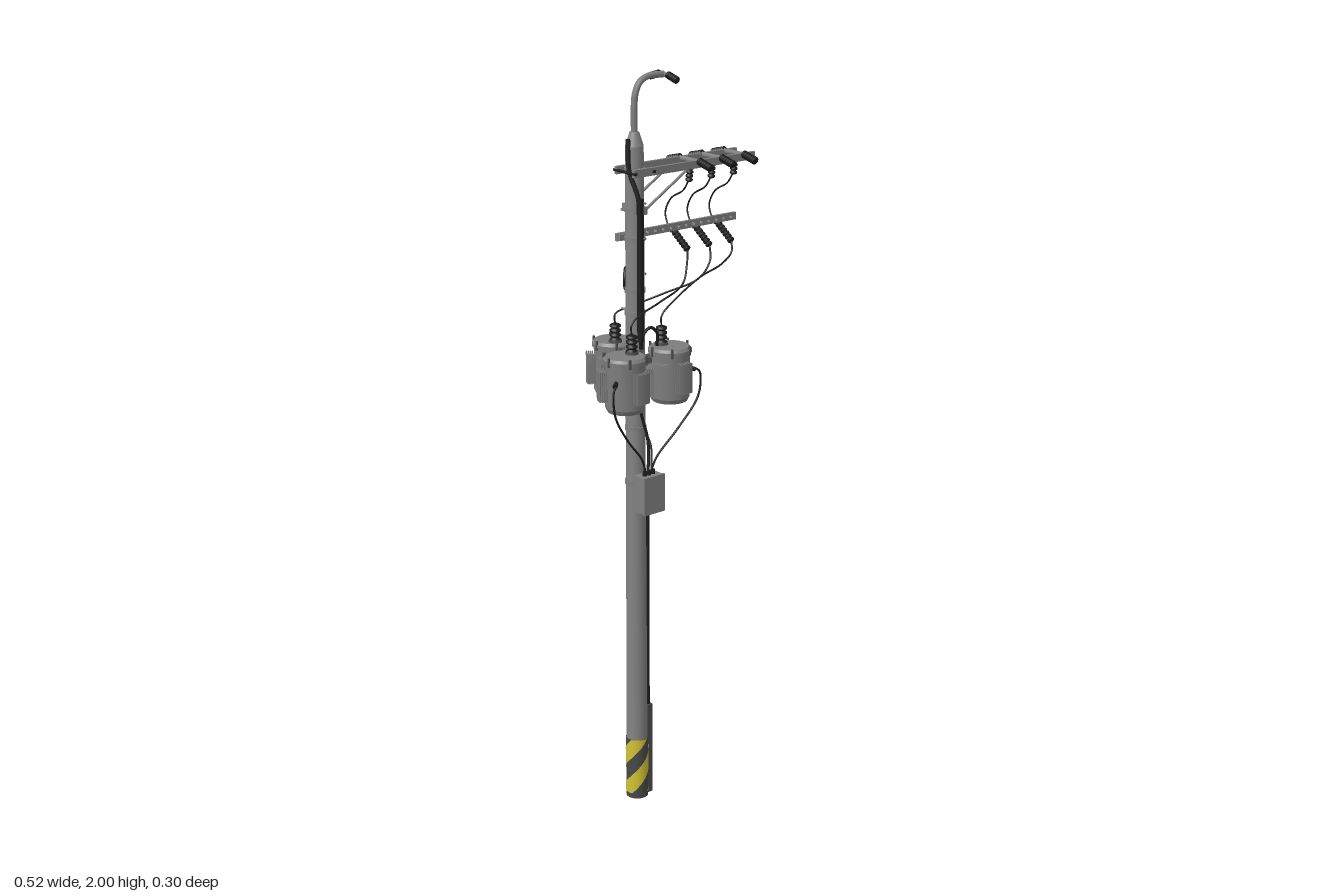
import * as THREE from 'three';

const mat = (name, color, side = THREE.FrontSide) => {
  const m = new THREE.MeshStandardMaterial({ color, side });
  m.name = name;
  return m;
};

export function createModel() {
  const root = new THREE.Group();
  root.name = 'utilityPole';
  const concrete = mat('concrete grey', 0x838383);
  const steel = mat('galvanised steel', 0x808080);
  const paint = mat('transformer grey', 0x7c7c7c);
  const cover = mat('conduit grey', 0x4c4c4c);
  const black = mat('black rubber', 0x1d1d1d);
  const dark = mat('warning dark', 0x484848, THREE.DoubleSide);
  const yellow = mat('warning yellow', 0xd2c234, THREE.DoubleSide);
  const PX = -0.112, PZ = 0.024;
  const V = (x, y, z) => new THREE.Vector3(x, y, z);

  const add = (name, geo, material, x = 0, y = 0, z = 0, parent = root) => {
    const m = new THREE.Mesh(geo, material);
    m.name = name;
    m.position.set(x, y, z);
    parent.add(m);
    return m;
  };
  const box = (name, w, h, d, material, x, y, z, parent) =>
    add(name, new THREE.BoxGeometry(w, h, d), material, x, y, z, parent);
  const cyl = (name, r1, r2, h, material, x, y, z, parent, seg = 24) =>
    add(name, new THREE.CylinderGeometry(r1, r2, h, seg), material, x, y, z, parent);
  const tube = (name, pts, r, material = black, parent = root) =>
    add(name, new THREE.TubeGeometry(new THREE.CatmullRomCurve3(pts.map(p => V(...p))), 40, r, 8), material, 0, 0, 0, parent);

  // Aligns a y-axis geometry from point a to point b
  const between = (name, geo, a, b, material, parent = root) => {
    const m = add(name, geo, material, ...a, parent);
    m.quaternion.setFromUnitVectors(V(0, 1, 0), V(...b).sub(V(...a)).normalize());
    return m;
  };
  const rod = (name, a, b, r, material, parent) => {
    const len = V(...a).distanceTo(V(...b));
    return between(name, new THREE.CylinderGeometry(r, r, len, 12).translate(0, len / 2, 0), a, b, material, parent);
  };
  // Ribbed insulator
  const insulator = (name, a, b, r, ribs = 5, parent = root) => {
    const len = V(...a).distanceTo(V(...b)), step = len / ribs;
    const pts = [new THREE.Vector2(0, 0)];
    for (let i = 0; i < ribs; i++) {
      pts.push(new THREE.Vector2(r * 0.65, i * step), new THREE.Vector2(r, (i + 0.25) * step),
        new THREE.Vector2(r, (i + 0.65) * step), new THREE.Vector2(r * 0.65, (i + 0.9) * step));
    }
    pts.push(new THREE.Vector2(0, len));
    return between(name, new THREE.LatheGeometry(pts, 16), a, b, black, parent);
  };

  // Tapered pole with rounded cap
  const poleR = y => 0.0295 - 0.006 * y / 1.82;
  cyl('pole', poleR(1.82), poleR(0), 1.82, concrete, PX, 0.91, PZ, root, 32);
  cyl('poleCap', 0.012, poleR(1.82), 0.035, concrete, PX, 1.8375, PZ);
  for (const y of [0.93, 1.08, 1.19, 1.27, 1.39, 1.45, 1.585, 1.66, 1.76])
    cyl('poleBand', poleR(y) + 0.0025, poleR(y) + 0.0025, 0.012, steel, PX, y, PZ);

  // Diagonal warning stripes wound round the foot
  const top = 0.18, pitch = 0.11, seg = 64;
  add('stripeBase', new THREE.CylinderGeometry(0.0302, 0.0307, top, 32, 1, true), dark, PX, top / 2, PZ);
  for (let k = -2; k < 2; k++) {
    const pos = [], idx = [];
    for (let i = 0; i <= seg; i++) {
      const t = i / seg, a = -t * Math.PI * 2;
      const lo = THREE.MathUtils.clamp((k + 2 * t) * pitch, 0.015, top);
      const hi = THREE.MathUtils.clamp((k + 2 * t + 0.52) * pitch, 0.015, top);
      for (const y of [lo, hi]) pos.push(PX + 0.0315 * Math.cos(a), y, PZ + 0.0315 * Math.sin(a));
      if (i < seg) idx.push(2 * i, 2 * i + 2, 2 * i + 1, 2 * i + 1, 2 * i + 2, 2 * i + 3);
    }
    const g = new THREE.BufferGeometry();
    g.setAttribute('position', new THREE.Float32BufferAttribute(pos, 3));
    g.setIndex(idx);
    g.computeVertexNormals();
    add('warningStripe', g, yellow);
  }

  // Cable riser and its guard on the +x side
  box('cableGuard', 0.018, 0.27, 0.03, cover, -0.078, 0.135, PZ);
  rod('riserPipe', [-0.079, 0.26, PZ], [-0.079, 0.88, PZ], 0.0075, cover);
  for (const s of [-1, 1]) {
    rod('riserCable', [-0.078, 0.26, PZ + s * 0.006], [-0.078, 0.86, PZ + s * 0.006], 0.0055, black);
    tube('riserBend', [[-0.078, 0.85, PZ + s * 0.006], [-0.078, 0.91, 0.004 + s * 0.005], [-0.08, 0.97, -0.022 + s * 0.005],
      [-0.083, 1.05, -0.025 + s * 0.004], [-0.088, 1.1, 0], [-0.1, 1.1, 0.045]], 0.0055);
  }

  // Cable running up the front of the pole, and the climbing pegs
  tube('frontCable', [[-0.136, 1.84, 0.028], [-0.137, 1.76, 0.034], [-0.125, 1.69, 0.055], [-0.12, 1.55, 0.056], [-0.118, 1.4, 0.056], [-0.118, 1.3, 0.056]], 0.006);
  rod('frontConduit', [-0.119, 1.32, 0.055], [-0.119, 1.69, 0.055], 0.009, black);
  for (const y of [1.13, 1.39, 1.65]) rod('climbingPeg', [PX, y, PZ], [PX, y, -0.03], 0.003, steel);
  for (const y of [1.5, 1.59, 1.68]) rod('climbingPeg', [PX, y, PZ], [PX, y, 0.067], 0.003, steel);

  // Spare cable coil behind the pole
  for (const d of [0, 0.006]) {
    const coil = add('cableCoil', new THREE.TorusGeometry(0.028 - d / 3, 0.0035, 8, 32), black, -0.106 + d, 1.47, -0.022 + d);
    coil.rotation.y = Math.PI / 4;
  }

  // Curved top bracket with its two-ended ribbed head
  tube('topBracket', [[PX, 1.84, PZ], [PX, 1.92, PZ], [-0.108, 1.95, PZ], [-0.095, 1.975, PZ], [-0.07, 1.988, PZ], [-0.017, 1.989, PZ]], 0.0085, steel);
  rod('topHead', [-0.017, 1.988, -0.005], [-0.017, 1.988, 0.053], 0.006, steel);
  for (const s of [-1, 1])
    insulator('topInsulator', [-0.017, 1.989, PZ + s * 0.016], [-0.017, 1.978, PZ + s * 0.054], 0.0095, 5);

  // Paired upper crossarms with braces
  for (const z of [-0.011, 0.059]) {
    box('upperCrossarm', 0.405, 0.02, 0.009, steel, 0.058, 1.757, z);
    rod('armBrace', [-0.11, 1.66, z], [0.04, 1.752, z], 0.0035, steel);
    box('braceClamp', 0.02, 0.02, 0.014, steel, PX, 1.66, z * 0.9 + 0.002);
  }
  for (const x of [-0.142, -0.082]) rod('armBolt', [x, 1.757, -0.02], [x, 1.757, 0.068], 0.004, black);

  // Perforated lower crossarm
  const arm = new THREE.Shape([[-0.145, -0.01], [0.26, -0.01], [0.26, 0.01], [-0.145, 0.01]].map(p => new THREE.Vector2(...p)));
  for (let x = -0.07; x < 0.25; x += 0.026) {
    const h = new THREE.Path();
    h.absarc(x, 0, 0.0045, 0, Math.PI * 2, true);
    arm.holes.push(h);
  }
  add('lowerCrossarm', new THREE.ExtrudeGeometry(arm, { depth: 0.009, bevelEnabled: false, curveSegments: 6 }), steel, 0, 1.585, -0.0155);
  box('lowerArmClamp', 0.062, 0.016, 0.012, steel, PX, 1.585, -0.004);

  // Insulators, fuses and jumper wires for each phase
  for (const x of [0.07, 0.146, 0.223]) {
    rod('insulatorBar', [x, 1.762, -0.015], [x, 1.762, 0.065], 0.007, steel);
    insulator('rearInsulator', [x, 1.764, -0.012], [x, 1.752, -0.06], 0.0105, 6);
    insulator('frontInsulator', [x, 1.764, 0.061], [x, 1.752, 0.109], 0.0105, 6);
    insulator('hangingFuse', [x, 1.757, 0.028], [x, 1.705, 0.022], 0.0095, 5);
    tube('jumperWire', [[x, 1.71, 0.022], [x, 1.68, 0.0], [x, 1.65, -0.05], [x, 1.61, -0.072], [x, 1.58, -0.062], [x, 1.565, -0.045]], 0.0022);
    insulator('lowerInsulator', [x, 1.572, -0.045], [x, 1.525, 0.02], 0.0095, 7);
  }

  // One transformer, modelled at the origin with its outward side along +x
  const finGeo = r => {
    const s = new THREE.Shape(), h = 0.38 - (r - 0.058) * 6;
    s.absarc(0, 0, r, -h, h, false);
    s.absarc(0, 0, r - 0.0025, h, -h, true);
    return new THREE.ExtrudeGeometry(s, { depth: 0.08, bevelEnabled: false, curveSegments: 8 }).rotateX(-Math.PI / 2);
  };
  const fins = [0.058, 0.063, 0.068, 0.073].map(finGeo);
  const transformer = (deg, i) => {
    const g = new THREE.Group();
    g.name = 'transformer' + (i + 1);
    const a = THREE.MathUtils.degToRad(deg);
    g.position.set(PX + 0.09 * Math.cos(a), 0, PZ + 0.09 * Math.sin(a));
    g.rotation.y = -a;
    root.add(g);
    cyl('tank', 0.052, 0.052, 0.12, paint, 0, 1.225, 0, g, 32);
    cyl('tankBase', 0.052, 0.046, 0.012, paint, 0, 1.159, 0, g, 32);
    cyl('lidRim', 0.057, 0.057, 0.009, paint, 0, 1.288, 0, g, 32);
    cyl('lid', 0.05, 0.056, 0.007, paint, 0, 1.296, 0, g, 32);
    for (const d of [60, 120, -60, -120]) {
      const group = new THREE.Group();
      group.name = 'coolingFins';
      group.rotation.y = THREE.MathUtils.degToRad(d);
      g.add(group);
      fins.forEach(f => add('fin', f, paint, 0, 1.185, 0, group));
      for (const y of [1.2, 1.25]) box('finHeader', 0.022, 0.006, 0.012, paint, 0.061, y, 0, group);
    }
    for (let k = 0; k < 6; k++) {
      const t = (k + 0.5) * Math.PI / 3;
      cyl('lidClamp', 0.0035, 0.0035, 0.024, cover, 0.056 * Math.cos(t), 1.291, 0.056 * Math.sin(t), g, 8);
    }
    // Side outlet, mount to the pole
    rod('sideOutlet', [0.05, 1.24, 0.008], [0.066, 1.235, 0.008], 0.006, black, g);
    for (const y of [1.19, 1.265]) box('mountBracket', 0.03, 0.014, 0.036, cover, -0.056, y, 0, g);
  };
  [-90, 146, 34].forEach(transformer);

  // High-voltage bushings with their feeder wires
  const bushings = [[-0.162, 0.071], [-0.125, -0.042], [-0.047, 0.052]];
  bushings.forEach(([x, z]) => {
    cyl('bushingFlange', 0.017, 0.018, 0.008, cover, x, 1.302, z);
    insulator('bushing', [x, 1.3, z], [x, 1.35, z], 0.0145, 4);
  });
  const feeder = (x, pts, [bx, bz]) =>
    tube('feederWire', [[x, 1.527, 0.018], ...pts, [bx, 1.375, bz], [bx, 1.345, bz]], 0.0025);
  feeder(0.07, [[0.062, 1.49, 0.025], [0.03, 1.445, 0.045], [-0.06, 1.415, 0.06], [-0.13, 1.395, 0.068]], bushings[0]);
  feeder(0.146, [[0.138, 1.49, 0.03], [0.09, 1.45, 0.04], [0, 1.42, 0.01], [-0.08, 1.39, -0.03]], bushings[1]);
  feeder(0.223, [[0.215, 1.5, 0.028], [0.17, 1.475, 0.038], [0.09, 1.455, 0.046], [0, 1.41, 0.05]], bushings[2]);
  tube('bushingLink', [[-0.12, 1.3, 0.056], [-0.118, 1.335, 0.06], [-0.095, 1.355, 0.064], [-0.07, 1.335, 0.062], [-0.066, 1.3, 0.056]], 0.004);

  // Low-voltage leads down to the switch box
  tube('leadRear', [[-0.103, 1.236, -0.128], [-0.1, 1.23, -0.145], [-0.098, 1.17, -0.148], [-0.092, 1.11, -0.11], [-0.08, 1.075, -0.02], [-0.082, 1.04, 0.045], [-0.1, 0.965, 0.076]], 0.0028);
  tube('leadRight', [[-0.238, 1.236, 0.105], [-0.252, 1.225, 0.11], [-0.25, 1.16, 0.112], [-0.2, 1.08, 0.1], [-0.14, 1.01, 0.085], [-0.122, 0.965, 0.078]], 0.0028);
  tube('leadLeft', [[0.018, 1.236, 0.108], [0.032, 1.225, 0.112], [0.028, 1.16, 0.112], [-0.03, 1.08, 0.1], [-0.09, 1.01, 0.085], [-0.108, 0.965, 0.078]], 0.0028);
  tube('boxFeed', [[-0.112, 1.26, 0.054], [-0.125, 1.15, 0.058], [-0.105, 1.05, 0.066], [-0.112, 0.965, 0.075]], 0.004);

  // Switch box
  box('switchBox', 0.066, 0.1, 0.042, steel, PX, 0.912, 0.078);
  box('switchBoxDoor', 0.07, 0.104, 0.006, steel, PX, 0.912, 0.099);
  box('switchBoxBracket', 0.03, 0.05, 0.014, cover, PX, 0.912, 0.052);
  for (const dx of [-0.014, 0, 0.014]) cyl('cableGland', 0.005, 0.006, 0.014, black, PX + dx, 0.968, 0.078, root, 10);

  return root;
}
